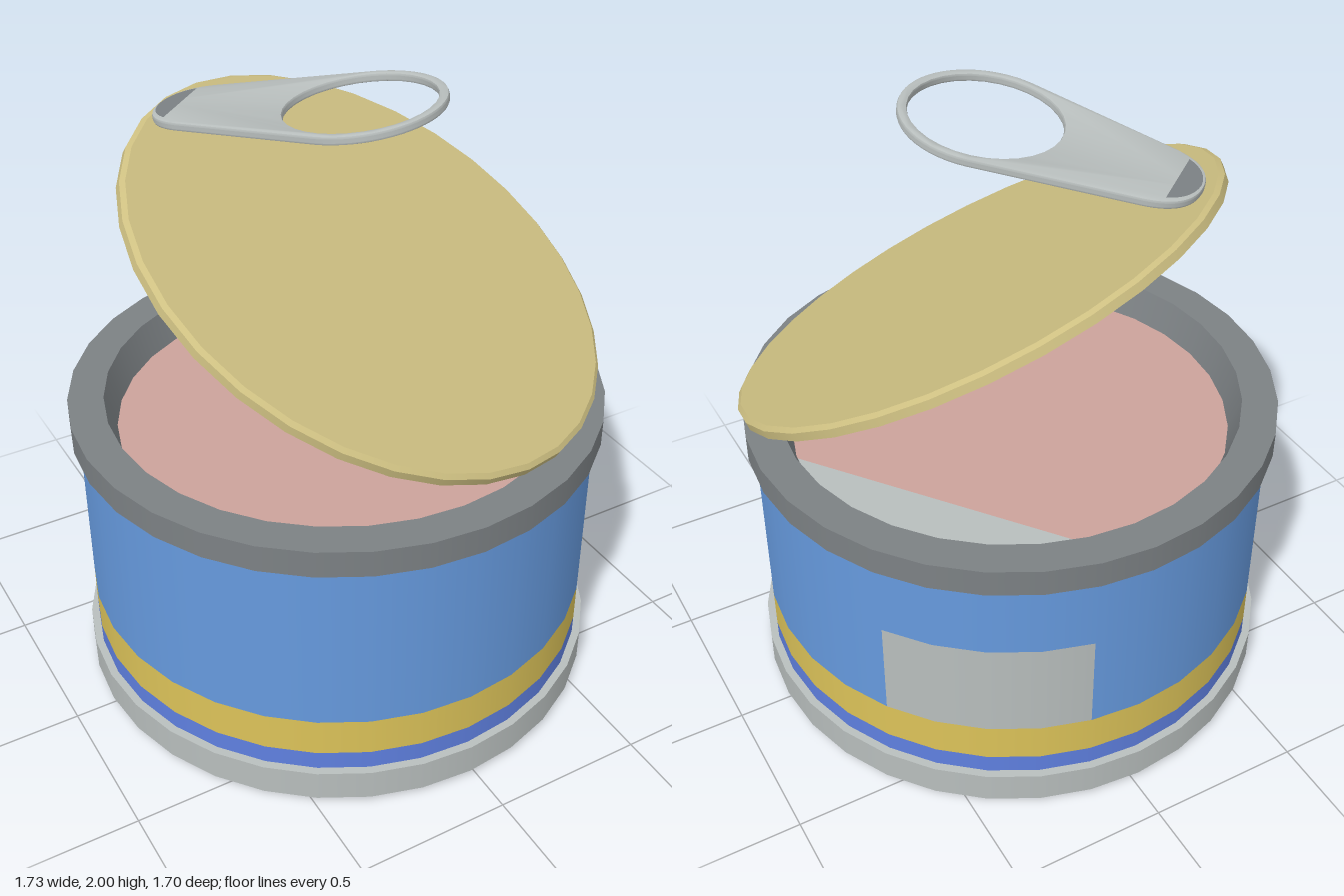
import * as THREE from 'three';
import { toCreasedNormals } from 'three/addons/utils/BufferGeometryUtils.js';

const SIDES = 32;
const rad = THREE.MathUtils.degToRad;

function mat(name, color) {
  const m = new THREE.MeshStandardMaterial({ color });
  m.name = name;
  return m;
}

export function createModel() {
  const lightMetal = mat('light metal', 0xb8bebd);
  const darkMetal = mat('dark metal', 0x7c8184);
  const blue = mat('label blue', 0x669ade);
  const gold = mat('label gold', 0xdcc359);
  const violet = mat('label violet', 0x5f80e0);
  const lidGold = mat('lid gold', 0xcec082);
  const pink = mat('food pink', 0xcca29b);

  const model = new THREE.Group();
  model.name = 'openTin';

  function add(parent, name, geometry, material) {
    const m = new THREE.Mesh(geometry, material);
    m.name = name;
    parent.add(m);
    return m;
  }

  // Revolved profile with a sharp edge at every profile point
  function turned(parent, name, profile, material) {
    const part = new THREE.Group();
    part.name = name;
    for (let i = 0; i < profile.length - 1; i++) {
      const pts = [profile[i], profile[i + 1]].map(p => new THREE.Vector2(p[0], p[1]));
      add(part, name + 'Face', new THREE.LatheGeometry(pts, SIDES), material);
    }
    parent.add(part);
    return part;
  }

  // Can body
  const can = new THREE.Group();
  can.name = 'can';
  can.position.x = -0.02;
  model.add(can);

  turned(can, 'base', [[0, 0], [0.84, 0.012]], darkMetal);
  turned(can, 'bottomRim', [[0.84, 0.012], [0.85, 0.02], [0.85, 0.125], [0.825, 0.126]], lightMetal);
  turned(can, 'violetStripe', [[0.825, 0.125], [0.825, 0.19]], violet);
  turned(can, 'goldStripe', [[0.825, 0.19], [0.825, 0.32]], gold);
  turned(can, 'upperLabel', [[0.825, 0.655], [0.825, 0.911]], blue);
  turned(can, 'topRim',
    [[0.825, 0.91], [0.85, 0.911], [0.85, 1], [0.737, 1], [0.70, 0.885]], darkMetal);

  // Lower label, with a bare patch let into it
  function sector(name, segments, startDeg, material) {
    const step = 360 / SIDES;
    const g = new THREE.CylinderGeometry(0.825, 0.825, 0.335, segments, 1, true,
      rad(startDeg), rad(step * segments));
    add(can, name, g, material).position.y = 0.4875;
  }
  sector('barePatch', 4, 123.75, lightMetal);
  sector('lowerLabel', 28, 168.75, blue);

  // Contents: pink fill and a bare segment beyond a straight cut
  function segment(name, from, to, material) {
    const s = new THREE.Shape();
    s.absarc(0, 0, 0.71, rad(from), rad(to), false);
    const g = new THREE.ShapeGeometry(s, SIDES);
    g.rotateX(-Math.PI / 2);
    add(can, name, g, material).position.y = 0.89;
  }
  segment('foodSurface', 86, 349, pink);
  segment('bareSurface', -11, 86, lightMetal);

  // Tilted lid
  const lid = turned(model, 'lid',
    [[0, -0.018], [0.812, -0.018], [0.812, 0.008], [0.797, 0.018], [0, 0.018]], lidGold);
  lid.position.set(0.08, 1.42, 0.035);
  lid.quaternion.setFromUnitVectors(new THREE.Vector3(0, 1, 0),
    new THREE.Vector3(0.282, 0.872, 0.4).normalize());

  // Ring pull: x runs from ring to nose, z is its thickness
  const tab = new THREE.Group();
  tab.name = 'ringPull';
  const c = Math.cos(rad(9)), s = Math.sin(rad(9));
  const along = new THREE.Vector3(-0.639 * c, -s, -0.769 * c);
  const normal = new THREE.Vector3(-0.639 * s, c, -0.769 * s);
  const across = new THREE.Vector3().crossVectors(normal, along);
  tab.quaternion.setFromRotationMatrix(new THREE.Matrix4().makeBasis(along, across, normal));
  tab.position.set(0.035, 1.945, 0.045);
  model.add(tab);

  const outline = new THREE.Shape();
  outline.absarc(0, 0, 0.247, rad(80), rad(280), false);
  outline.lineTo(0.52, -0.145);
  outline.bezierCurveTo(0.61, -0.125, 0.643, -0.07, 0.643, 0);
  outline.bezierCurveTo(0.643, 0.07, 0.61, 0.125, 0.52, 0.145);
  outline.closePath();
  const hole = new THREE.Path();
  hole.absarc(0, 0, 0.234, 0, Math.PI * 2, true);
  outline.holes.push(hole);
  const plate = new THREE.ExtrudeGeometry(outline, {
    depth: 0.012, bevelEnabled: true, bevelThickness: 0.008, bevelSize: 0.008,
    bevelSegments: 2, curveSegments: 16,
  });
  plate.translate(0, 0, -0.006);
  add(tab, 'pullPlate', toCreasedNormals(plate, rad(40)), lightMetal);

  // Dark mark on the nose of the ring pull
  const mark = new THREE.Shape();
  mark.moveTo(0.575, -0.115);
  mark.quadraticCurveTo(0.64, -0.08, 0.643, 0);
  mark.quadraticCurveTo(0.64, 0.08, 0.575, 0.115);
  mark.closePath();
  add(tab, 'noseMark', new THREE.ShapeGeometry(mark, 8), darkMetal).position.z = 0.0155;

  return model;
}
